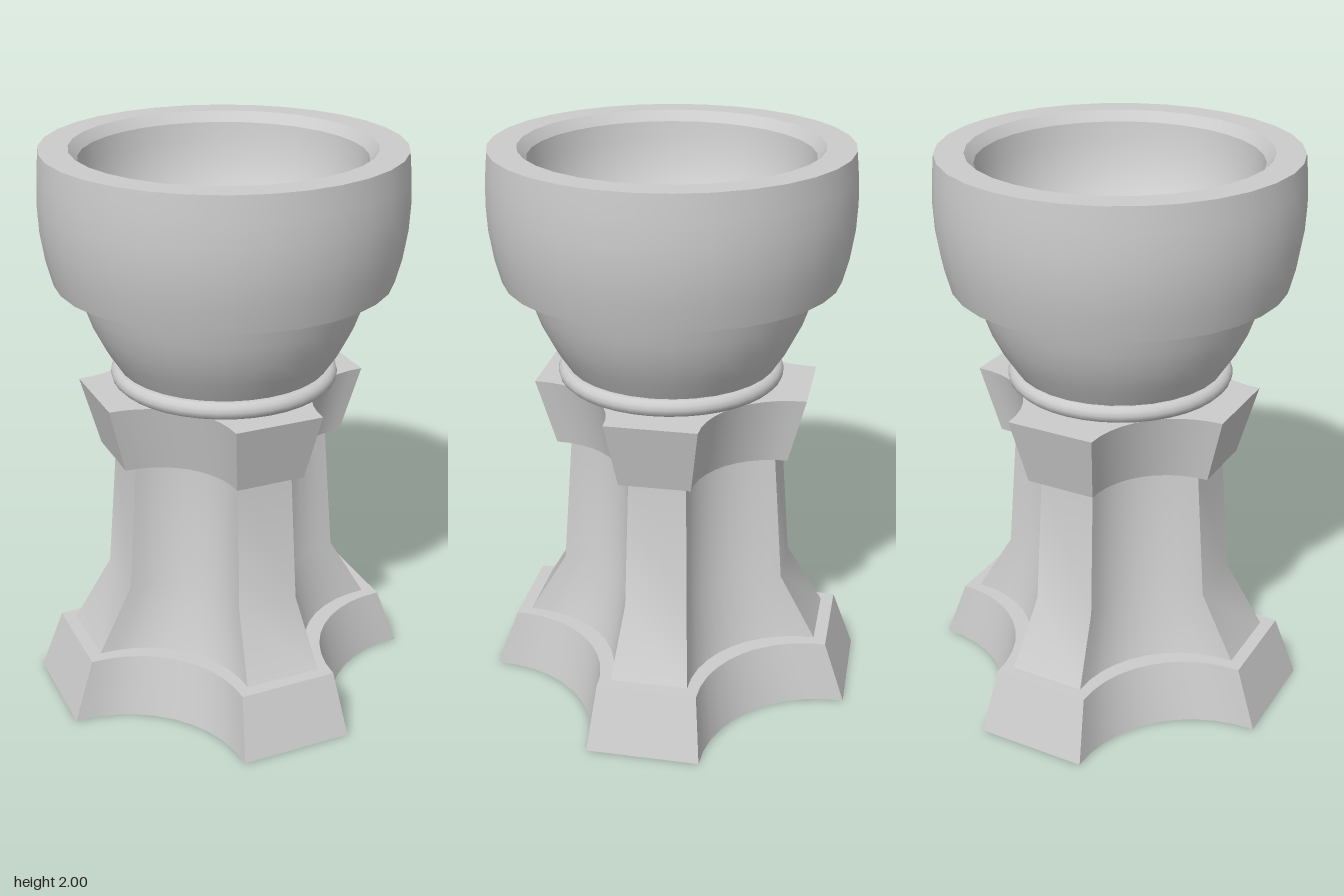
import * as THREE from 'three';
import { toCreasedNormals } from 'three/addons/utils/BufferGeometryUtils.js';

const material = new THREE.MeshStandardMaterial({ color: 0xcccccc });
const ARC_STEPS = 10;
const SIDES = 32;

// Four-armed outline: flat ends at distance e, half-width w, joined by hollow arcs
function outline(e, w, y) {
  const chord = (e - w) * Math.SQRT2;
  const sag = chord * 0.215;
  const radius = (chord * chord / 4 + sag * sag) / (2 * sag);
  const half = Math.asin(chord / 2 / radius);
  const centre = ((e + w) / 2) * Math.SQRT2 - sag + radius;
  const ring = [];
  for (let q = 0; q < 4; q++) {
    const turn = Math.PI / 4 + q * Math.PI / 2;
    for (let i = 0; i <= ARC_STEPS; i++) {
      const a = half - (2 * half * i) / ARC_STEPS;
      const u = centre - radius * Math.cos(a);
      const v = -radius * Math.sin(a);
      ring.push([
        u * Math.cos(turn) - v * Math.sin(turn),
        y,
        u * Math.sin(turn) + v * Math.cos(turn),
      ]);
    }
  }
  return ring;
}

// Joins a stack of [end, halfWidth, y] sections and closes both ends
function loft(sections) {
  const rings = sections.map((s) => outline(...s));
  const pos = [];
  const tri = (a, b, c) => pos.push(...a, ...b, ...c);
  const n = rings[0].length;
  const last = rings.length - 1;
  const bottom = [0, sections[0][2], 0];
  const top = [0, sections[last][2], 0];
  for (let i = 0; i < n; i++) {
    const j = (i + 1) % n;
    for (let k = 0; k < last; k++) {
      const lo = rings[k], hi = rings[k + 1];
      tri(lo[i], hi[i], hi[j]);
      tri(lo[i], hi[j], lo[j]);
    }
    tri(bottom, rings[0][i], rings[0][j]);
    tri(top, rings[last][j], rings[last][i]);
  }
  const geo = new THREE.BufferGeometry();
  geo.setAttribute('position', new THREE.Float32BufferAttribute(pos, 3));
  return toCreasedNormals(geo, 0.52);
}

function lathe(points) {
  const profile = points.map(([r, y]) => new THREE.Vector2(r, y));
  return toCreasedNormals(new THREE.LatheGeometry(profile, SIDES), 0.52);
}

export function createModel() {
  const model = new THREE.Group();
  const add = (name, geometry, z = 0) => {
    const mesh = new THREE.Mesh(geometry, material);
    mesh.name = name;
    mesh.position.z = z;
    model.add(mesh);
    return mesh;
  };

  // Pedestal: spreading foot, flared shaft and capital
  add('foot', loft([[0.66, 0.2, 0], [0.583, 0.176, 0.22]]));
  add('shaft', loft([[0.54, 0.137, 0.215], [0.405, 0.11, 0.45], [0.368, 0.1, 0.94]]));
  add('capital', loft([[0.415, 0.125, 0.93], [0.478, 0.158, 1.175]]));

  // Rounded ring between capital and cup
  const collar = add('collar', new THREE.TorusGeometry(0.367, 0.031, 12, 40), 0.022);
  collar.rotation.x = Math.PI / 2;
  collar.position.y = 1.207;

  // Cup: bowl, overhanging band, flat rim and hollow inside
  add('cup', lathe([
    [0, 1.172], [0.33, 1.172], [0.37, 1.24], [0.415, 1.31], [0.455, 1.39],
    [0.483, 1.47], [0.502, 1.55],
    [0.583, 1.555], [0.605, 1.64], [0.62, 1.74], [0.624, 1.83], [0.62, 1.92], [0.612, 2],
    [0.513, 2], [0.483, 1.965],
    [0.473, 1.9], [0.45, 1.82], [0.41, 1.74], [0.347, 1.67],
    [0.345, 1.61], [0, 1.61],
  ]), 0.018);

  return model;
}
